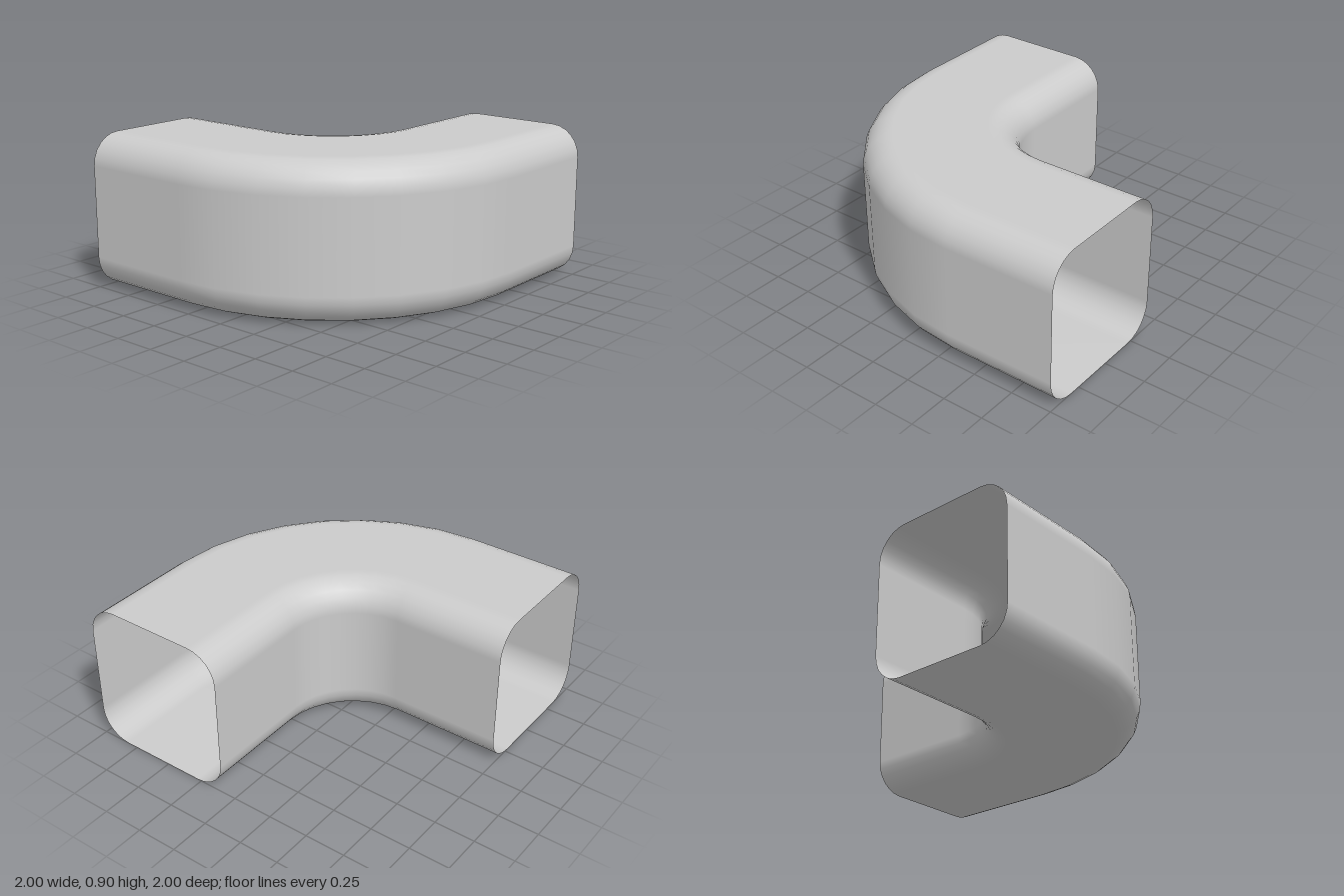
import * as THREE from 'three';

const SIZE = 0.905;    // duct width and height
const CORNER = 0.18;   // rounding of the section corners
const CENTRE = -0.32;  // x and z of the bend axis
const OUTER = 1 - CENTRE;
const BEND_STEPS = 8;
const CORNER_STEPS = 6;

// Rounded square section: distance from the bend axis, height and outward normal
function section() {
  const half = SIZE / 2 - CORNER;
  const points = [];
  for (let q = 0; q < 4; q++) {
    const sr = q === 0 || q === 3 ? 1 : -1;
    const sy = q < 2 ? 1 : -1;
    for (let i = 0; i <= CORNER_STEPS; i++) {
      const t = (q + i / CORNER_STEPS) * Math.PI / 2;
      const nr = Math.cos(t), ny = Math.sin(t);
      points.push({
        r: OUTER - SIZE / 2 + sr * half + CORNER * nr,
        y: SIZE / 2 + sy * half + CORNER * ny,
        nr, ny,
      });
    }
  }
  return points;
}

// Stations along the duct: straight end, quarter bend, straight end
function stations() {
  const straight = 1 + CENTRE;
  const list = [{ angle: 0, dx: -straight, dz: 0 }];
  for (let i = 0; i <= BEND_STEPS; i++) {
    list.push({ angle: i / BEND_STEPS * Math.PI / 2, dx: 0, dz: 0 });
  }
  list.push({ angle: Math.PI / 2, dx: 0, dz: -straight });
  return list;
}

function ductGeometry() {
  const ring = section(), path = stations(), n = ring.length;
  const positions = [], normals = [], index = [];
  path.forEach(({ angle, dx, dz }, k) => {
    const s = Math.sin(angle), c = Math.cos(angle);
    ring.forEach(({ r, y, nr, ny }, j) => {
      positions.push(CENTRE + r * s + dx, y, CENTRE + r * c + dz);
      normals.push(nr * s, ny, nr * c);
      if (k === 0) return;
      const j2 = (j + 1) % n;
      const a = (k - 1) * n + j, b = (k - 1) * n + j2;
      const d = k * n + j, e = k * n + j2;
      index.push(a, d, b, b, d, e);
    });
  });
  const geometry = new THREE.BufferGeometry();
  geometry.setAttribute('position', new THREE.Float32BufferAttribute(positions, 3));
  geometry.setAttribute('normal', new THREE.Float32BufferAttribute(normals, 3));
  geometry.setIndex(index);
  return geometry;
}

export function createModel() {
  const group = new THREE.Group();
  group.name = 'ductElbow';
  // Thin open-ended shell
  const material = new THREE.MeshStandardMaterial({ color: 0xcccccc, side: THREE.DoubleSide });
  const duct = new THREE.Mesh(ductGeometry(), material);
  duct.name = 'ductShell';
  group.add(duct);
  return group;
}
